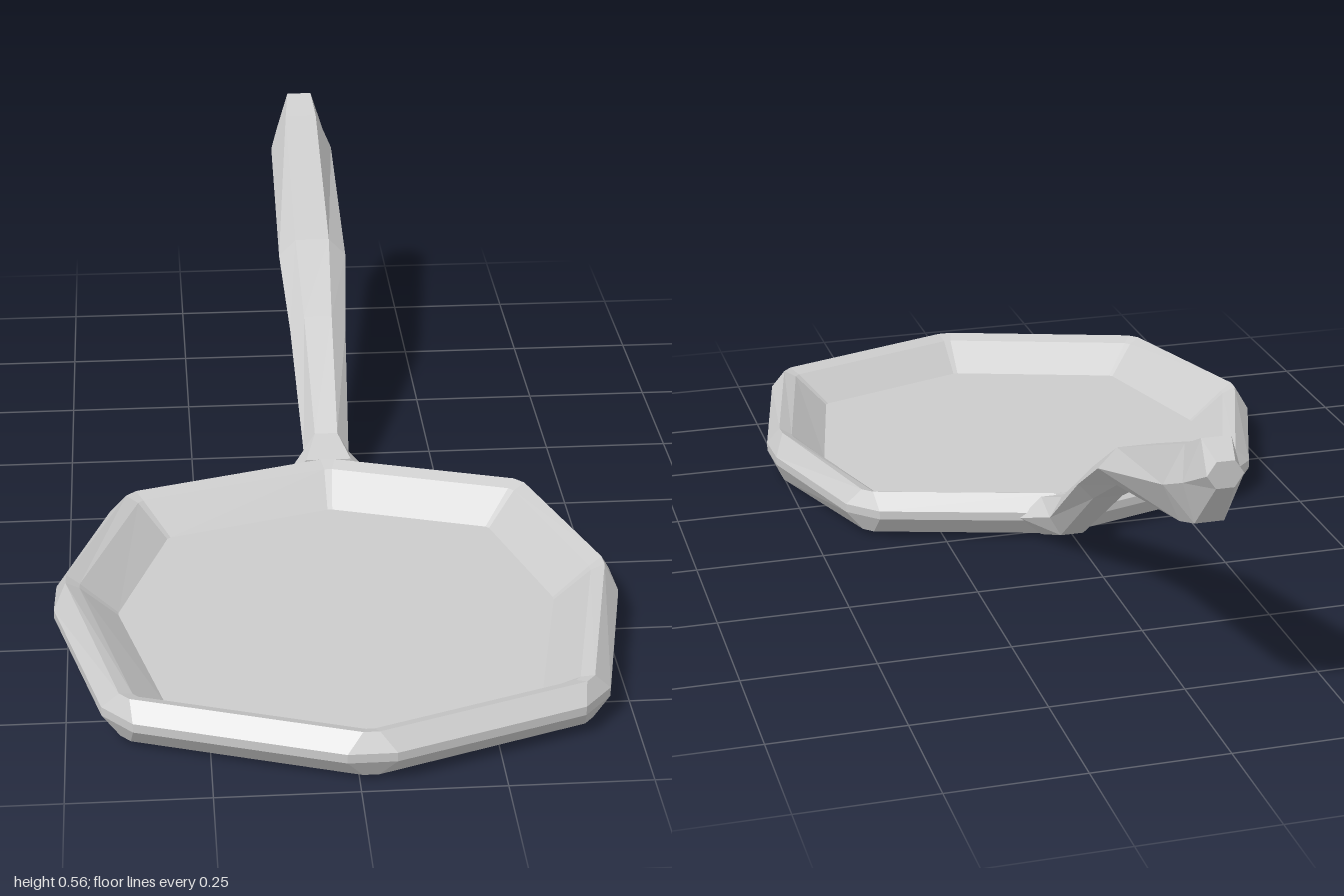
import * as THREE from 'three';

const material = new THREE.MeshStandardMaterial({ color: 0xcccccc, flatShading: true });

// Skin a series of equal-length rings and close both ends.
function loft(name, rings) {
  const pos = [];
  const tri = (a, b, c) => pos.push(...a, ...b, ...c);
  const n = rings[0].length;
  const centre = r => [0, 1, 2].map(k => r.reduce((s, p) => s + p[k], 0) / n);
  const first = rings[0], last = rings[rings.length - 1];
  const c0 = centre(first), c1 = centre(last);
  for (let i = 0; i < n; i++) {
    const j = (i + 1) % n;
    for (let r = 0; r + 1 < rings.length; r++) {
      const a = rings[r], b = rings[r + 1];
      tri(a[i], a[j], b[j]);
      tri(a[i], b[j], b[i]);
    }
    tri(c0, first[j], first[i]);
    tri(c1, last[i], last[j]);
  }
  const geo = new THREE.BufferGeometry();
  geo.setAttribute('position', new THREE.Float32BufferAttribute(pos, 3));
  geo.computeVertexNormals();
  const mesh = new THREE.Mesh(geo, material);
  mesh.name = name;
  return mesh;
}

// Octagon outline of the pan as [x, z], corners on the axes.
const corners = [
  [0.02, 1.0], [0.445, 0.85], [0.535, 0.425], [0.42, 0.05],
  [0.02, -0.075], [-0.405, 0.05], [-0.535, 0.425], [-0.425, 0.85],
];

// One pan ring: scaled outline with clipped corners; bulge thickens the side corners.
function panRing(scale, y, clip, bulge = 0) {
  const pts = corners.map(([x, z]) => [0.01 + (x - 0.01) * scale, 0.45 + (z - 0.45) * scale]);
  const ring = [];
  pts.forEach((p, i) => {
    const h = y + (i % 4 === 2 ? bulge : 0);
    for (const q of [pts[(i + 7) % 8], pts[(i + 1) % 8]]) {
      const t = clip / Math.hypot(q[0] - p[0], q[1] - p[1]);
      ring.push([p[0] + (q[0] - p[0]) * t, h, p[1] + (q[1] - p[1]) * t]);
    }
  });
  return ring;
}

// Six-sided handle section: top and bottom [z, y], half width.
function handleRing([zt, yt, zb, yb, w]) {
  const cx = 0.022, zm = (zt + zb) / 2, ym = (yt + yb) / 2;
  return [
    [cx - w * 0.5, yt, zt], [cx + w * 0.5, yt, zt], [cx + w, ym, zm],
    [cx + w * 0.5, yb, zb], [cx - w * 0.5, yb, zb], [cx - w, ym, zm],
  ];
}

export function createModel() {
  const group = new THREE.Group();
  group.name = 'fryingPan';

  // Pan: underside, bevelled wall, rim, inner slope, floor
  group.add(loft('pan', [
    panRing(0.945, 0.01, 0.015, -0.01),
    panRing(1, 0.048, 0.045),
    panRing(1, 0.065, 0.045),
    panRing(0.945, 0.096, 0.015, 0.01),
    panRing(0.895, 0.086, 0.008, 0.005),
    panRing(0.765, 0.03, 0.005),
  ]));

  // Handle: flared root, rising neck, thicker grip, rounded tip
  group.add(loft('handle', [
    [-0.045, 0.094, -0.045, 0.013, 0.09],
    [-0.115, 0.118, -0.11, 0.035, 0.046],
    [-0.35, 0.275, -0.35, 0.21, 0.058],
    [-0.52, 0.378, -0.52, 0.305, 0.071],
    [-0.89, 0.525, -0.87, 0.378, 0.067],
    [-0.95, 0.556, -0.925, 0.395, 0.052],
    [-1.0, 0.532, -1.0, 0.485, 0.032],
  ].map(handleRing)));

  return group;
}
